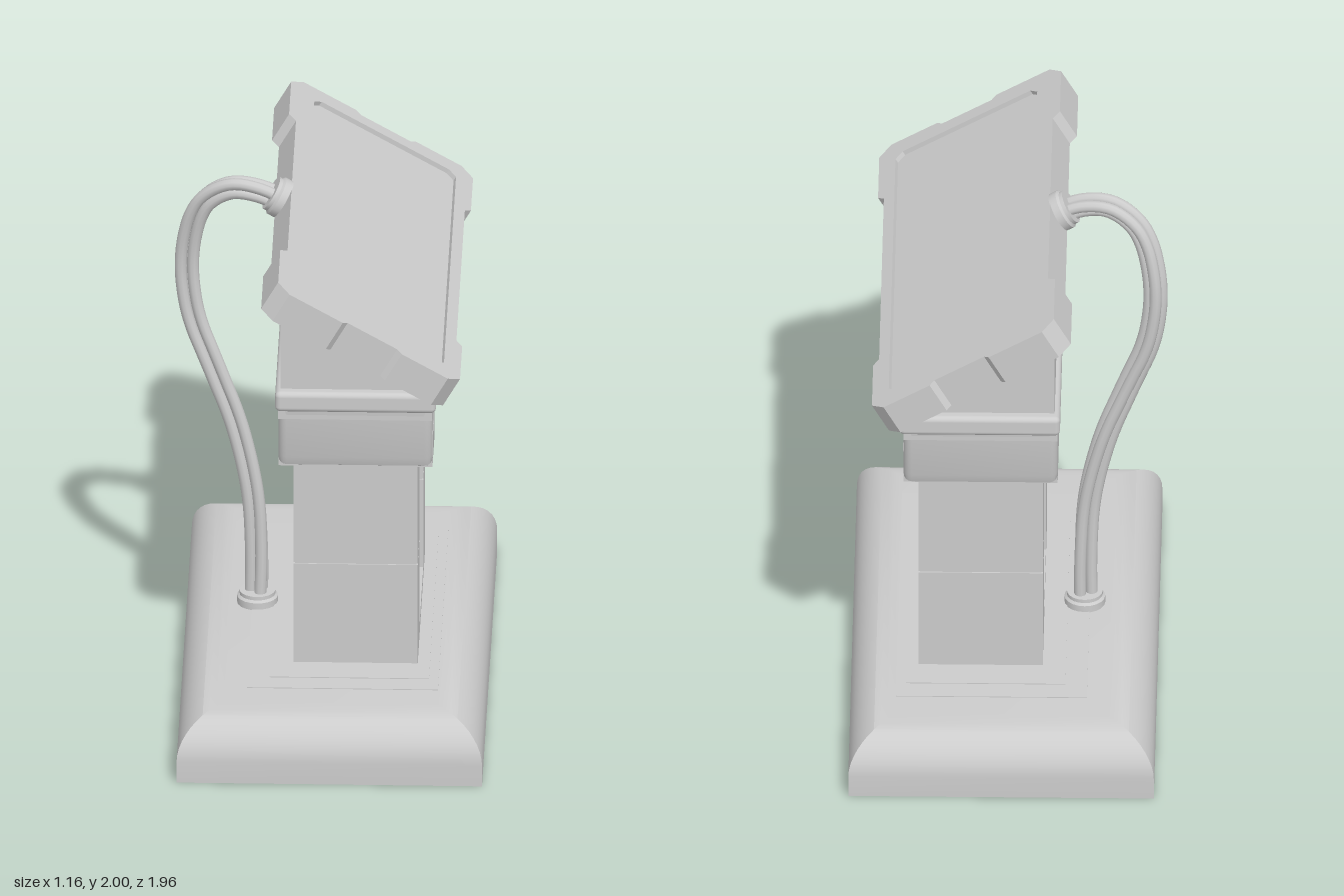
import * as THREE from 'three';
import { toCreasedNormals } from 'three/addons/utils/BufferGeometryUtils.js';
import { RoundedBoxGeometry } from 'three/addons/geometries/RoundedBoxGeometry.js';

const material = new THREE.MeshStandardMaterial({ color: 0xcccccc });

function add(parent, name, geometry) {
  const mesh = new THREE.Mesh(geometry, material);
  mesh.name = name;
  parent.add(mesh);
  return mesh;
}

// Box given by its limits on each axis
function box(parent, name, [x0, x1], [y0, y1], [z0, z1]) {
  const g = new THREE.BoxGeometry(x1 - x0, y1 - y0, z1 - z0);
  g.translate((x0 + x1) / 2, (y0 + y1) / 2, (z0 + z1) / 2);
  return add(parent, name, g);
}

const polygon = (pts) => new THREE.Shape(pts.map(([x, y]) => new THREE.Vector2(x, y)));

// Stacked rectangles with square corners and a rounded shoulder
function baseGeometry() {
  const rings = [[0, 0]];
  for (let i = 0; i <= 10; i++) {
    const a = (i / 10) * Math.PI / 2;
    rings.push([1 - Math.cos(a), 0.085 + 0.16 * Math.sin(a)]);
  }
  const pos = [], idx = [];
  for (const [t, y] of rings) {
    const x0 = -0.54 + 0.17 * t, x1 = 0.58 - 0.17 * t, z = 0.98 - 0.18 * t;
    pos.push(x0, y, z, x1, y, z, x1, y, -z, x0, y, -z);
  }
  for (let r = 0; r < rings.length - 1; r++) {
    for (let k = 0; k < 4; k++) {
      const a = r * 4 + k, b = r * 4 + (k + 1) % 4;
      idx.push(a, b, b + 4, a, b + 4, a + 4);
    }
  }
  const n = (rings.length - 1) * 4;
  idx.push(n, n + 1, n + 2, n, n + 2, n + 3, 0, 2, 1, 0, 3, 2);
  const g = new THREE.BufferGeometry();
  g.setAttribute('position', new THREE.Float32BufferAttribute(pos, 3));
  g.setIndex(idx);
  return toCreasedNormals(g, 0.6);
}

// Pyramid-shaped brace between the beam and the inside of a leg
function braceGeometry(s) {
  const a = [0.385, 1.285, 0.235 * s], b = [-0.18, 1.285, 0.235 * s];
  const tip = [0.1, 1.285, 0.13 * s], low = [0.1, 1.05, 0.235 * s];
  const faces = [[a, low, tip], [tip, low, b], [a, tip, b], [a, b, low]];
  const pos = faces.flatMap((f) => (s > 0 ? f : [f[0], f[2], f[1]]).flat());
  const g = new THREE.BufferGeometry();
  g.setAttribute('position', new THREE.Float32BufferAttribute(pos, 3));
  g.computeVertexNormals();
  return g;
}

// Leg with a seam, and the bracket that caps it
function addSupport(group, s) {
  const side = new THREE.Group();
  side.name = s > 0 ? 'frontSupport' : 'backSupport';
  group.add(side);
  const z = s > 0 ? [0.235, 0.475] : [-0.475, -0.235];
  box(side, 'lowerLeg', [-0.125, 0.33], [0.24, 0.652], z);
  box(side, 'legSeam', [-0.12, 0.325], [0.65, 0.66], [z[0] + 0.005, z[1] - 0.005]);
  box(side, 'upperLeg', [-0.125, 0.33], [0.658, 1.3], z);

  const outline = [[0.235, 1.035], [0.5, 1.07], [0.53, 1.085], [0.542, 1.12], [0.555, 1.33], [0.235, 1.33]];
  const pts = outline.map(([w, y]) => [-w * s, y]);
  const bracket = new THREE.ExtrudeGeometry(polygon(s > 0 ? pts.reverse() : pts), {
    depth: 0.505, bevelThickness: 0.03, bevelSize: 0.03, bevelOffset: -0.03, bevelSegments: 4,
  });
  bracket.rotateY(Math.PI / 2).translate(-0.15, 0, 0);
  add(side, 'bracket', toCreasedNormals(bracket, 0.6));
  // square block that keeps the bracket's inner edge crisp
  box(side, 'bracketCore', [-0.18, 0.385], [1.07, 1.33], s > 0 ? [0.235, 0.51] : [-0.51, -0.235]);
  add(side, 'brace', braceGeometry(s));

  // stepped panel line on the bracket face
  const line = (z0, z1, y0, y1) => box(side, 'panelLine', [0.38, 0.387], [y0, y1],
    [Math.min(z0, z1), Math.max(z0, z1)]);
  const [za, zb] = s > 0 ? [0.39, 0.505] : [-0.4, -0.505];
  line(za - 0.002, za + 0.002, 1.2, 1.28);
  line(za, zb, 1.198, 1.202);
  if (s > 0) line(zb - 0.002, zb + 0.002, 1.11, 1.2);
}

// Tilted console; local x runs down the slope, local z is the face normal
function addConsole(group) {
  const panel = new THREE.Group();
  panel.name = 'console';
  const c = Math.cos(Math.PI / 6), s = 0.5;
  panel.setRotationFromMatrix(new THREE.Matrix4().makeBasis(
    new THREE.Vector3(c, -s, 0), new THREE.Vector3(0, 0, -1), new THREE.Vector3(s, c, 0)));
  panel.position.set(0.1625, 1.7925, 0.018);
  group.add(panel);

  // half outline with chamfered corners and shallow notches, then mirrored
  const half = [[0.36, 0], [0.36, 0.54], [0.385, 0.565], [0.385, 0.835], [0.335, 0.885],
    [0.14, 0.885], [0.12, 0.865], [-0.09, 0.865], [-0.11, 0.885], [-0.335, 0.885],
    [-0.385, 0.835], [-0.385, 0.565], [-0.355, 0.54], [-0.355, 0]];
  const mirrored = half.slice(1, -1).reverse().map(([u, v]) => [u, -v]);
  const frame = polygon([...half, ...mirrored]);
  const [u0, u1, v, k] = [-0.285, 0.315, 0.803, 0.03];
  frame.holes.push(polygon([[u0 + k, -v], [u0, k - v], [u0, v - k], [u0 + k, v],
    [u1 - k, v], [u1, v - k], [u1, k - v], [u1 - k, -v]]));
  const frameGeo = new THREE.ExtrudeGeometry(frame, { depth: 0.125, bevelEnabled: false });
  add(panel, 'consoleFrame', frameGeo.translate(0, 0, -0.125));
  box(panel, 'screen', [-0.3, 0.33], [-0.82, 0.82], [-0.124, -0.018]);
}

// Three strands following one centre line, with a grommet at each end
function addCable(group) {
  const path = new THREE.CatmullRomCurve3([
    [-0.17, 1.905, 0.015], [-0.26, 1.945, 0.01], [-0.37, 1.95, -0.01], [-0.475, 1.87, -0.04],
    [-0.53, 1.66, -0.07], [-0.51, 1.42, -0.07], [-0.43, 1.2, -0.055], [-0.345, 0.97, -0.045],
    [-0.285, 0.7, -0.035], [-0.27, 0.45, -0.035], [-0.272, 0.25, -0.035],
  ].map((p) => new THREE.Vector3(...p)));
  for (let i = 0; i < 3; i++) {
    const pts = [];
    for (let j = 0; j <= 30; j++) {
      const t = j / 30, angle = i * Math.PI * 2 / 3 + t * 1.2;
      const tan = path.getTangent(t);
      const normal = new THREE.Vector3(-tan.y, tan.x, 0).normalize();
      const p = path.getPoint(t).addScaledVector(normal, 0.026 * Math.cos(angle));
      p.z += 0.026 * Math.sin(angle);
      pts.push(p);
    }
    add(group, 'cableStrand', new THREE.TubeGeometry(new THREE.CatmullRomCurve3(pts), 80, 0.022, 10));
  }
  const profile = [[0, 0], [0.075, 0], [0.075, 0.03], [0.066, 0.038], [0.066, 0.052], [0, 0.052]]
    .map(([r, y]) => new THREE.Vector2(r, y));
  const grommet = () => toCreasedNormals(new THREE.LatheGeometry(profile, 20), 0.6);
  add(group, 'baseGrommet', grommet()).position.set(-0.272, 0.243, -0.035);
  const top = add(group, 'consoleGrommet', grommet());
  top.position.set(-0.175, 1.913, 0.015);
  top.rotation.z = Math.PI / 3;
}

export function createModel() {
  const group = new THREE.Group();
  group.name = 'consolePedestal';

  // Base with two thin inlaid plates and the sill under the legs
  add(group, 'base', baseGeometry());
  box(group, 'outerPlate', [-0.29, 0.41], [0.2, 0.248], [-0.685, 0.685]);
  box(group, 'innerPlate', [-0.21, 0.375], [0.2, 0.251], [-0.6, 0.6]);
  box(group, 'sill', [-0.125, 0.33], [0.24, 0.295], [-0.24, 0.24]);

  addSupport(group, 1);
  addSupport(group, -1);

  // Cross rod and beam joining the two supports
  const rod = new THREE.CylinderGeometry(0.047, 0.047, 0.5, 24).rotateX(Math.PI / 2);
  add(group, 'crossRod', rod).position.set(0.11, 1.023, 0);
  box(group, 'beam', [-0.18, 0.385], [1.28, 1.34], [-0.553, 0.553]);

  const collar = new RoundedBoxGeometry(0.59, 0.08, 1.21, 4, 0.02);
  add(group, 'collar', collar).position.set(0.105, 1.37, 0);

  // Wedge-shaped neck under the console
  const neck = new THREE.ExtrudeGeometry(
    polygon([[-0.17, 1.4], [0.375, 1.4], [0.375, 1.545], [-0.17, 1.86]]),
    { depth: 1.13, bevelEnabled: false });
  add(group, 'neck', neck.translate(0, 0, -0.565));

  addConsole(group);
  addCable(group);
  return group;
}
